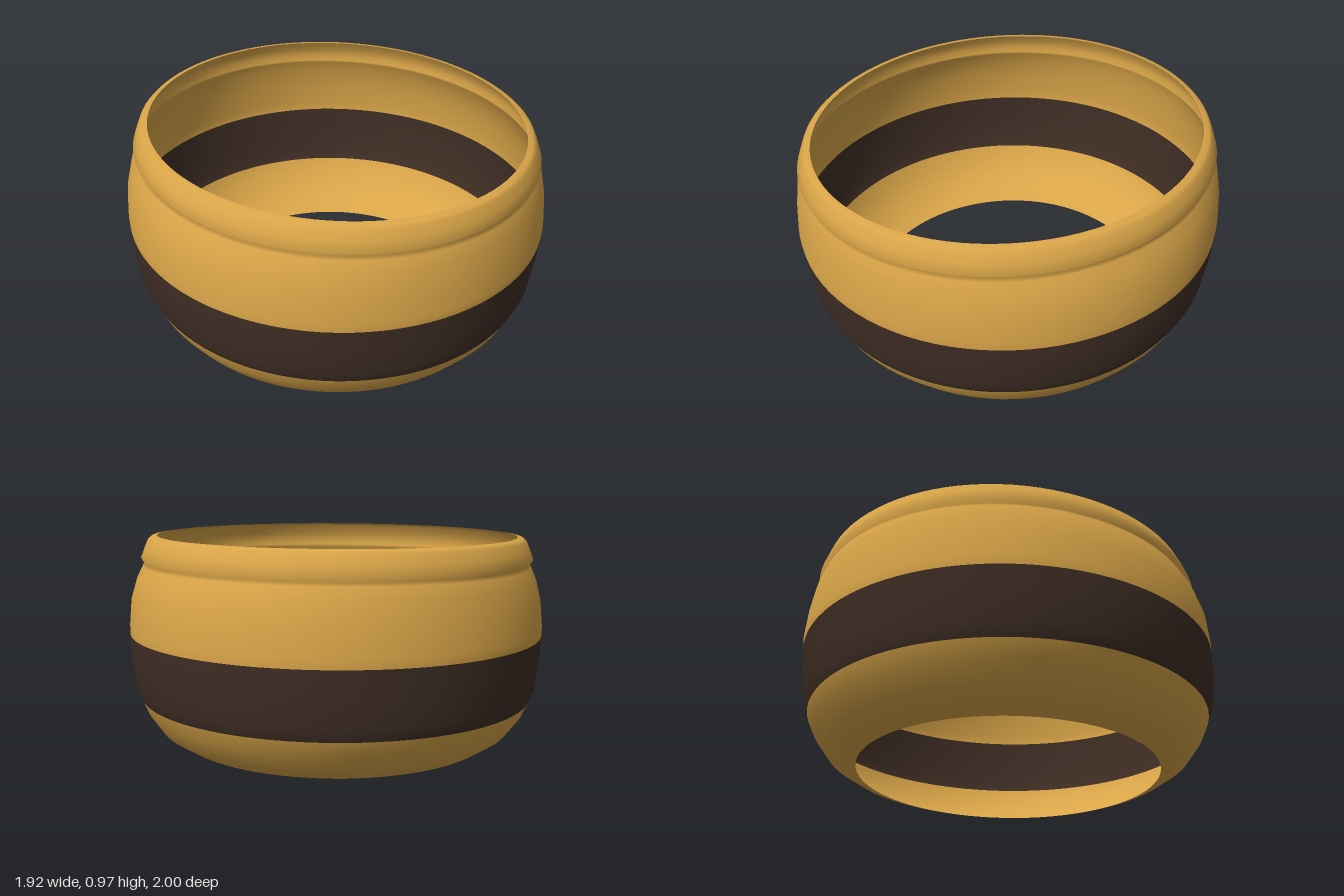
import * as THREE from 'three';

const SEGMENTS = 96;

// Oval cross-sections from base to lip: [height, half width, half depth]
const SECTIONS = [
  [0, 0.688, 0.714], [0.02, 0.75, 0.768], [0.075, 0.835, 0.85],
  [0.16, 0.893, 0.917], [0.226, 0.921, 0.948], [0.28, 0.943, 0.969],
  [0.415, 0.96, 0.984], [0.524, 0.96, 0.996], [0.563, 0.96, 1.0],
  [0.684, 0.949, 0.989], [0.78, 0.918, 0.976], [0.835, 0.889, 0.96],
  [0.85, 0.882, 0.952], [0.873, 0.896, 0.967], [0.915, 0.88, 0.952],
  [0.955, 0.862, 0.937], [0.968, 0.845, 0.925], [0.972, 0.82, 0.9],
];
const BAND_START = 4; // sections that bound the dark band
const BAND_END = 7;

// Smooth open shell lofted through the oval sections
function loftShell(sections) {
  const positions = [];
  const indices = [];
  for (const [y, rx, rz] of sections) {
    for (let i = 0; i < SEGMENTS; i++) {
      const a = (i / SEGMENTS) * Math.PI * 2;
      positions.push(Math.sin(a) * rx, y, Math.cos(a) * rz);
    }
  }
  for (let r = 0; r < sections.length - 1; r++) {
    for (let i = 0; i < SEGMENTS; i++) {
      const j = (i + 1) % SEGMENTS;
      const a = r * SEGMENTS + i, b = r * SEGMENTS + j;
      const c = a + SEGMENTS, d = b + SEGMENTS;
      indices.push(a, b, d, a, d, c);
    }
  }
  const geometry = new THREE.BufferGeometry();
  geometry.setAttribute('position', new THREE.Float32BufferAttribute(positions, 3));
  geometry.setIndex(indices);
  geometry.computeVertexNormals();
  return geometry;
}

export function createModel() {
  const gold = new THREE.MeshStandardMaterial({ color: 0xd9a548, side: THREE.DoubleSide });
  gold.name = 'gold';
  const darkBrown = new THREE.MeshStandardMaterial({ color: 0x3e2d24, side: THREE.DoubleSide });
  darkBrown.name = 'dark brown';

  // One continuous wall: gold base, dark band, gold shoulder and lip
  const geometry = loftShell(SECTIONS);
  const row = SEGMENTS * 6;
  geometry.addGroup(0, BAND_START * row, 0);
  geometry.addGroup(BAND_START * row, (BAND_END - BAND_START) * row, 1);
  geometry.addGroup(BAND_END * row, (SECTIONS.length - 1 - BAND_END) * row, 0);

  const ring = new THREE.Mesh(geometry, [gold, darkBrown]);
  ring.name = 'bandedRingWall';

  const model = new THREE.Group();
  model.name = 'openOvalRing';
  model.add(ring);
  return model;
}
